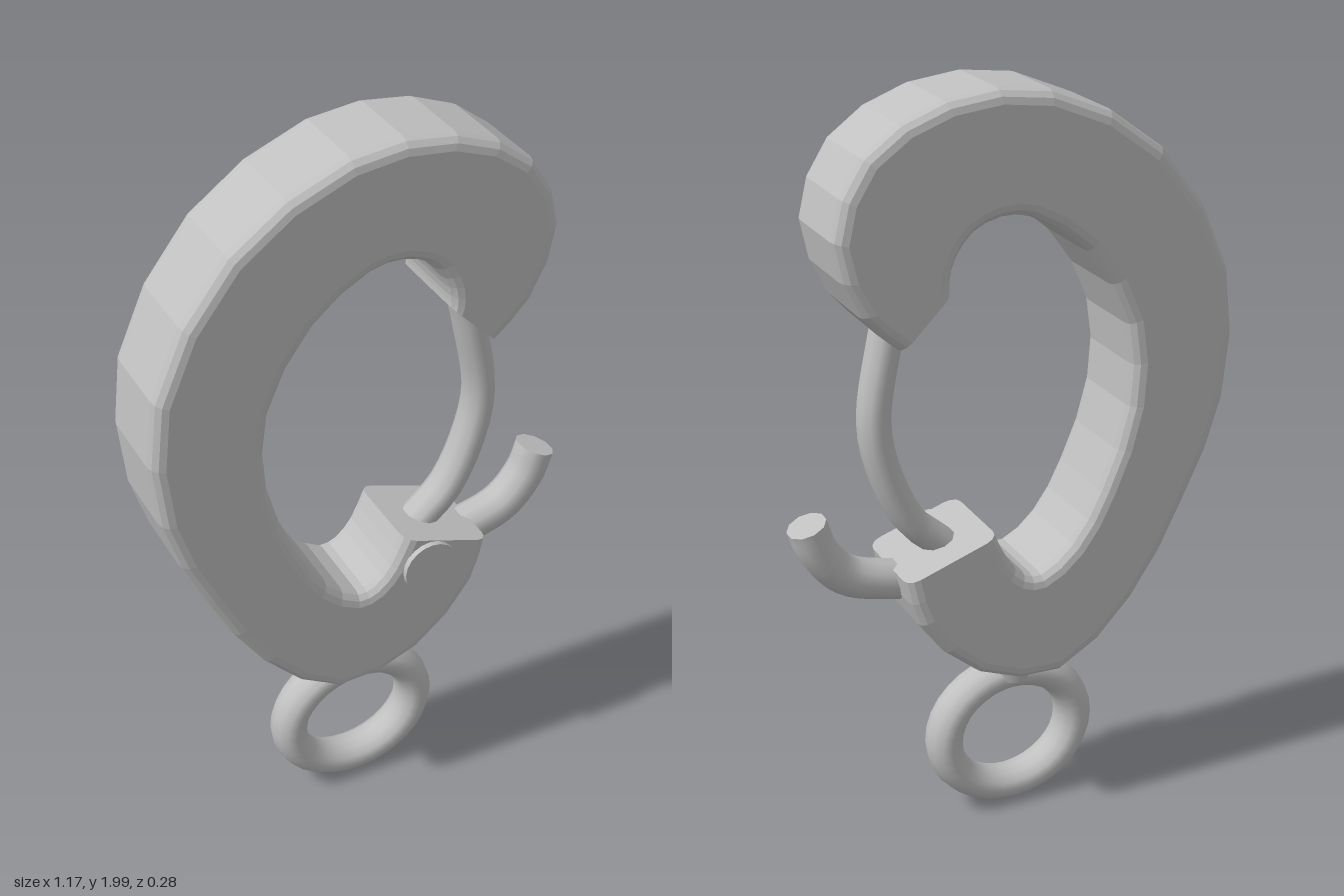
import * as THREE from 'three';

// Paired outline points along the hook body: outer x, y, inner x, y
const RIBS = [
  [0.325, 1.4, 0.193, 1.53], [0.42, 1.495, 0.192, 1.56], [0.484, 1.685, 0.175, 1.61],
  [0.405, 1.87, 0.13, 1.665], [0.2, 1.98, 0.06, 1.69], [-0.07, 1.98, -0.02, 1.68],
  [-0.373, 1.81, -0.17, 1.575], [-0.57, 1.48, -0.288, 1.37], [-0.574, 1.13, -0.295, 1.15],
  [-0.47, 0.86, -0.22, 0.93], [-0.32, 0.6, -0.14, 0.796], [-0.108, 0.43, -0.05, 0.73],
  [0.124, 0.48, -0.005, 0.74], [0.288, 0.655, 0.04, 0.79], [0.325, 0.786, 0.077, 0.87],
];
const HALF_DEPTH = 0.133;
const BEVEL = 0.035;

const curveOf = (pts) => new THREE.CatmullRomCurve3(pts.map(([x, y]) => new THREE.Vector3(x, y, 0)));

// Sweep a rounded rectangle between the outer and inner outlines, with flat ends
function bodyGeometry() {
  const outer = curveOf(RIBS.map((r) => [r[0], r[1]]));
  const inner = curveOf(RIBS.map((r) => [r[2], r[3]]));
  const steps = (RIBS.length - 1) * 2;
  const arc = 3;
  const loop = 4 * (arc + 1);
  const pos = [];
  const index = [];
  for (let i = 0; i <= steps; i++) {
    const o = outer.getPoint(i / steps);
    const n = inner.getPoint(i / steps);
    const mid = o.clone().add(n).multiplyScalar(0.5);
    const half = o.distanceTo(n) / 2;
    const dir = o.clone().sub(n).normalize();
    for (let c = 0; c < 4; c++) {
      const su = c === 0 || c === 3 ? 1 : -1;
      const sz = c < 2 ? 1 : -1;
      for (let k = 0; k <= arc; k++) {
        const a = (c + k / arc) * Math.PI / 2;
        const u = su * (half - BEVEL) + BEVEL * Math.cos(a);
        const z = sz * (HALF_DEPTH - BEVEL) + BEVEL * Math.sin(a);
        pos.push(mid.x + dir.x * u, mid.y + dir.y * u, z);
      }
    }
  }
  for (let i = 0; i < steps; i++) {
    for (let j = 0; j < loop; j++) {
      const k = (j + 1) % loop;
      const a = i * loop + j, b = a + loop, d = i * loop + k, c = d + loop;
      index.push(a, b, d, b, c, d);
    }
  }
  const last = steps * loop;
  for (let j = 1; j < loop - 1; j++) {
    index.push(0, j, j + 1, last, last + j + 1, last + j);
  }
  const indexed = new THREE.BufferGeometry();
  indexed.setAttribute('position', new THREE.Float32BufferAttribute(pos, 3));
  indexed.setIndex(index);
  const geo = indexed.toNonIndexed(); // separate faces give a faceted rim
  geo.computeVertexNormals();
  return geo;
}

export function createModel() {
  const model = new THREE.Group();
  model.name = 'snapHook';
  const metal = new THREE.MeshStandardMaterial({ color: 0xc0c0c0 });
  metal.name = 'grey metal';

  const add = (name, geo, x = 0, y = 0, z = 0) => {
    const mesh = new THREE.Mesh(geo, metal);
    mesh.name = name;
    mesh.position.set(x, y, z - 0.007);
    model.add(mesh);
    return mesh;
  };

  // Round rod along a path, a little deeper than wide, with flat caps
  const addRod = (name, pts, radius, depth) => {
    const curve = curveOf(pts);
    const rod = add(name, new THREE.TubeGeometry(curve, 20, radius, 10));
    rod.scale.z = depth;
    for (const [t, sign] of [[0, -1], [1, 1]]) {
      const cap = new THREE.Mesh(new THREE.CircleGeometry(radius, 10), metal);
      cap.name = name + 'End';
      cap.position.copy(curve.getPoint(t));
      cap.lookAt(cap.position.clone().addScaledVector(curve.getTangent(t), sign));
      rod.add(cap);
    }
  };

  add('hookBody', bodyGeometry());

  // Spring gate closing the hook, and the thumb lever that opens it
  addRod('gate', [[0.285, 1.52], [0.317, 1.39], [0.352, 1.18], [0.325, 1.035],
    [0.262, 0.9], [0.193, 0.833], [0.11, 0.76]], 0.042, 1.25);
  addRod('thumbLever', [[0.18, 0.72], [0.32, 0.745], [0.44, 0.785], [0.51, 0.865], [0.537, 0.94]], 0.052, 1.08);

  // Hinge pin head on the front
  const pin = new THREE.CylinderGeometry(0.076, 0.076, 0.06, 20).rotateX(Math.PI / 2);
  add('hingePin', pin, 0.147, 0.765, 0.118);

  // Swivel collar and ring below
  const collar = new THREE.CylinderGeometry(0.08, 0.066, 0.06, 12).scale(0.8, 1, 1.1);
  add('swivelCollar', collar, -0.013, 0.422);
  const ring = new THREE.TorusGeometry(0.193, 0.049, 12, 32).scale(1, 0.9, 1.2);
  add('swivelRing', ring, -0.015, 0.22);

  return model;
}
